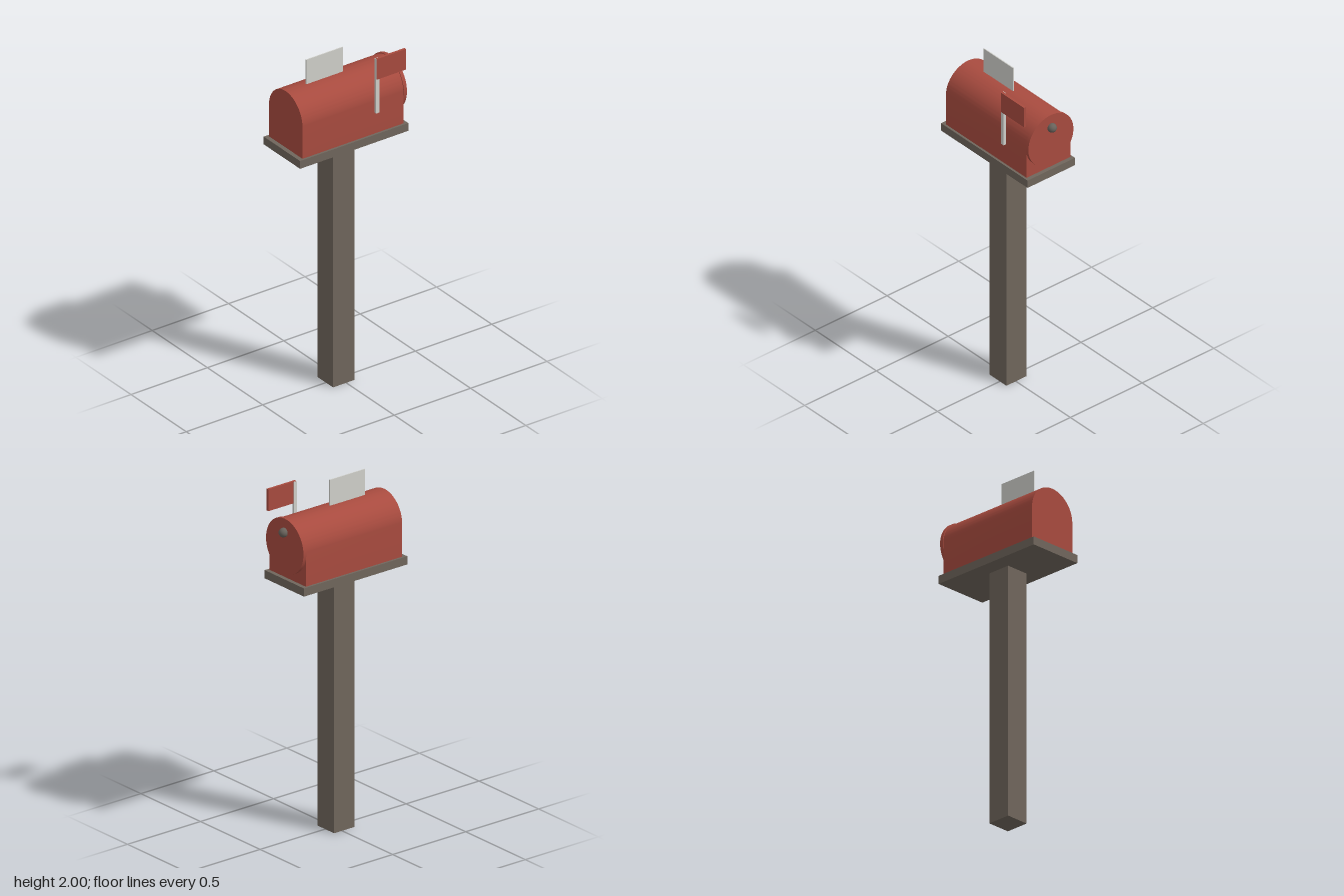
import * as THREE from 'three';
import { toCreasedNormals } from 'three/addons/utils/BufferGeometryUtils.js';

export function createModel() {
  const model = new THREE.Group();
  model.name = 'mailbox';
  const material = (name, color) => {
    const m = new THREE.MeshStandardMaterial({ color });
    m.name = name;
    return m;
  };
  const red = material('red paint', 0xa84b3f);
  const wood = material('weathered wood', 0x70665c);
  const metal = material('pale metal', 0xd0d0cb);
  const knobGrey = material('knob grey', 0x68625b);

  const add = (name, geometry, mat, x = 0, y = 0, z = 0) => {
    const mesh = new THREE.Mesh(geometry, mat);
    mesh.name = name;
    mesh.position.set(x, y, z);
    model.add(mesh);
    return mesh;
  };
  // Box given by its lower and upper corners
  const box = (name, mat, [x0, y0, z0], [x1, y1, z1]) =>
    add(name, new THREE.BoxGeometry(x1 - x0, y1 - y0, z1 - z0), mat,
      (x0 + x1) / 2, (y0 + y1) / 2, (z0 + z1) / 2);

  const midZ = -0.005, axisY = 1.7;

  // Post and shelf
  box('post', wood, [-0.086, 0, midZ - 0.07], [0.054, 1.463, midZ + 0.07]);
  box('shelf', wood, [-0.37, 1.463, -0.17], [0.338, 1.51, 0.16]);

  // Body: straight sides under a half-round roof, extruded along x
  const r = 0.152, base = 1.51 - axisY;
  const arch = new THREE.Shape();
  arch.moveTo(-r, base);
  arch.lineTo(r, base);
  arch.lineTo(r, 0);
  arch.absarc(0, 0, r, 0, Math.PI, false);
  arch.closePath();
  const body = new THREE.ExtrudeGeometry(arch, { depth: 0.66, bevelEnabled: false, curveSegments: 32 });
  body.rotateY(Math.PI / 2);
  add('body', toCreasedNormals(body, 0.6), red, -0.345, axisY, midZ);

  // Round door with its knob
  const door = new THREE.CylinderGeometry(0.157, 0.157, 0.02, 64);
  door.rotateZ(Math.PI / 2);
  add('door', door, red, 0.325, axisY, midZ);
  add('doorKnob', new THREE.SphereGeometry(0.026, 24, 16), knobGrey, 0.344, 1.78, midZ);

  // Upright plate on the roof
  box('roofPlate', metal, [-0.212, 1.84, midZ - 0.003], [0.028, 2, midZ + 0.003]);

  // Signal flag on its arm
  box('flagArm', metal, [0.126, 1.638, 0.148], [0.146, 1.968, 0.163]);
  box('flag', red, [0.128, 1.845, 0.153], [0.318, 1.97, 0.167]);

  return model;
}
